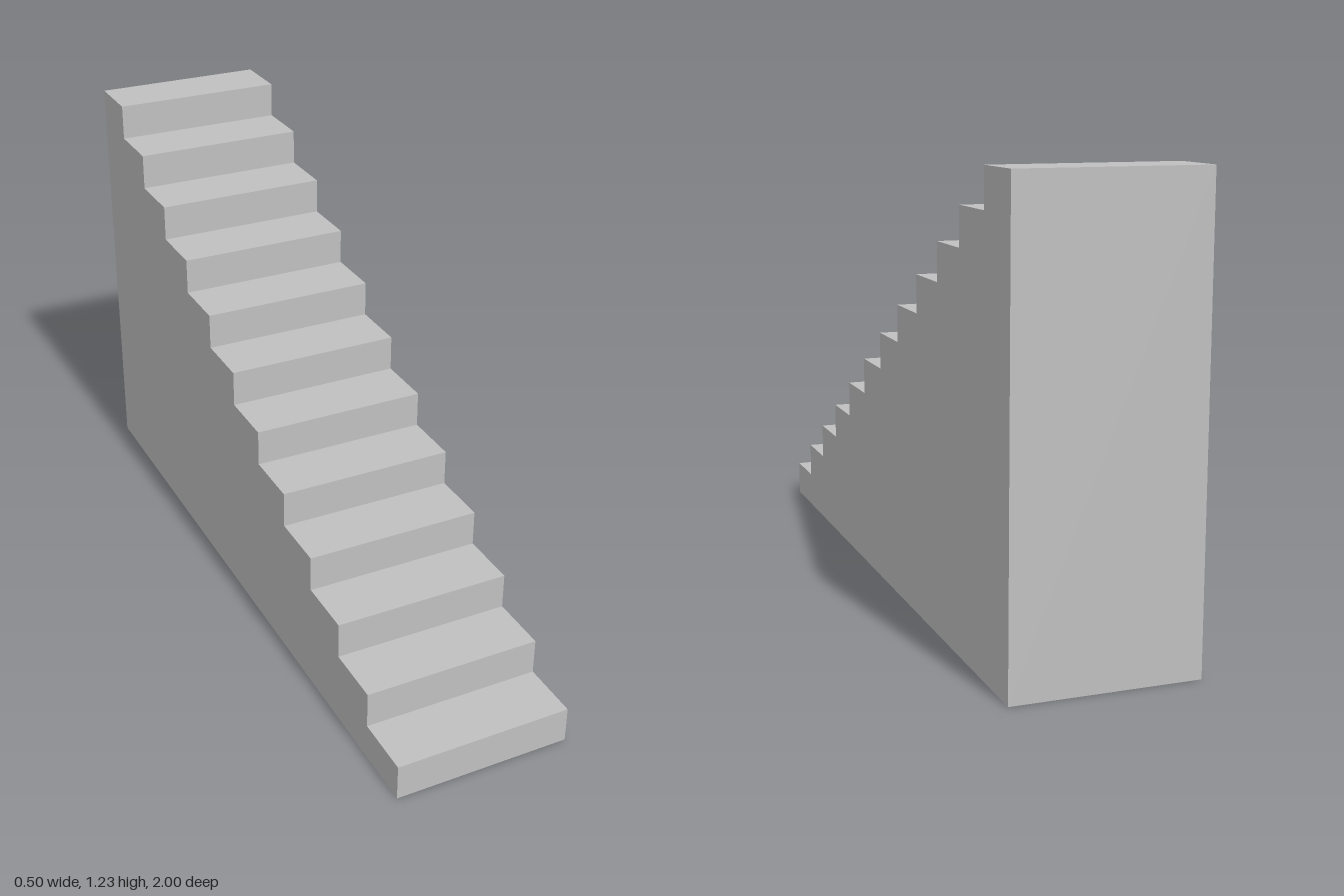
import * as THREE from 'three';

const STEPS = 12;
const WIDTH = 0.497;
const HEIGHT = 1.225;
const DEPTH = 2;
const RISE = HEIGHT / STEPS;
const RUN = DEPTH / STEPS;

export function createModel() {
  const stairs = new THREE.Group();
  stairs.name = 'staircase';

  // Thin shell, open underneath, so both sides of each sheet show
  const grey = new THREE.MeshStandardMaterial({ color: 0xc0c0c0, side: THREE.DoubleSide });
  grey.name = 'grey';

  const add = (name, geometry, x, y, z) => {
    const mesh = new THREE.Mesh(geometry, grey);
    mesh.name = name;
    mesh.position.set(x, y, z);
    stairs.add(mesh);
    return mesh;
  };

  // Risers and treads, climbing from the front to the back
  const riser = new THREE.PlaneGeometry(WIDTH, RISE);
  const tread = new THREE.PlaneGeometry(WIDTH, RUN).rotateX(-Math.PI / 2);
  for (let i = 0; i < STEPS; i++) {
    const front = DEPTH / 2 - i * RUN;
    add(`riser${i + 1}`, riser, 0, (i + 0.5) * RISE, front);
    add(`tread${i + 1}`, tread, 0, (i + 1) * RISE, front - RUN / 2);
  }

  // Back wall
  add('backWall', new THREE.PlaneGeometry(WIDTH, HEIGHT).rotateY(Math.PI), 0, HEIGHT / 2, -DEPTH / 2);

  // Stepped side walls; shape x runs from the front towards the back
  const profile = new THREE.Shape();
  profile.moveTo(0, 0);
  profile.lineTo(DEPTH, 0);
  profile.lineTo(DEPTH, HEIGHT);
  for (let i = STEPS - 1; i >= 0; i--) {
    profile.lineTo(i * RUN, (i + 1) * RISE);
    if (i > 0) profile.lineTo(i * RUN, i * RISE);
  }
  const leftSide = new THREE.ShapeGeometry(profile).rotateY(Math.PI / 2);
  add('leftSide', leftSide, WIDTH / 2, 0, DEPTH / 2);

  // Mirrored wall: reflect the outline so its face points to -x
  const mirrored = new THREE.Shape(profile.getPoints().map((p) => new THREE.Vector2(-p.x, p.y)));
  const rightSide = new THREE.ShapeGeometry(mirrored).rotateY(-Math.PI / 2);
  add('rightSide', rightSide, -WIDTH / 2, 0, DEPTH / 2);

  return stairs;
}
